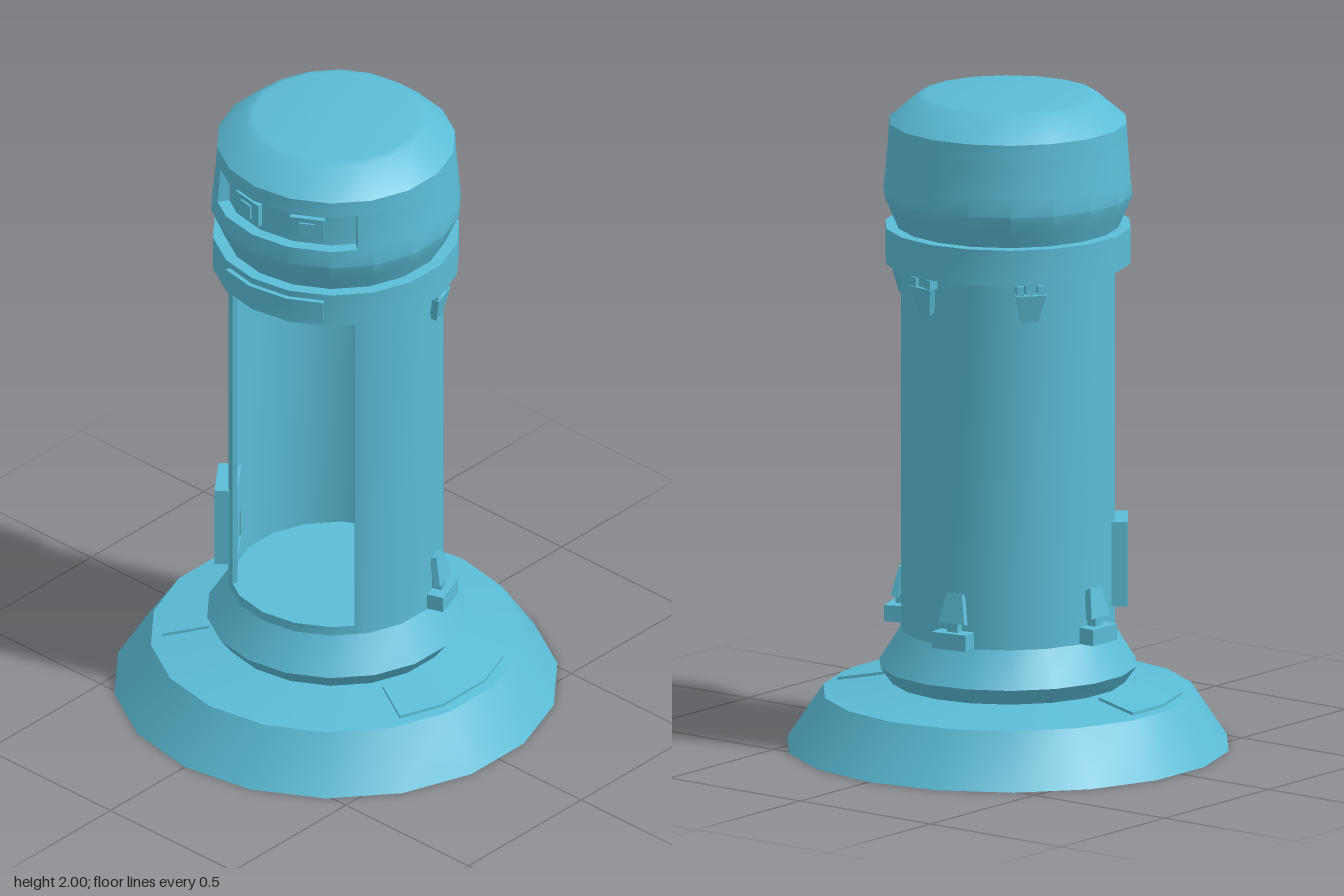
import * as THREE from 'three';
import { toCreasedNormals } from 'three/addons/utils/BufferGeometryUtils.js';

const material = new THREE.MeshStandardMaterial({ color: 0x5bbcd6, side: THREE.DoubleSide });
const RAD = Math.PI / 180;
const SIDES = 18, STEP = 360 / SIDES;
// The doorway and the dome window share one span of angles (0 = front, 90 = left)
const GAP_FROM = 237, GAP_TO = 323;

// Point on an 18-sided ring; partial rings keep to the flat faces
function ringPoint([r, y], deg) {
  const off = deg - STEP * Math.round(deg / STEP);
  const k = r * Math.cos(RAD * STEP / 2) / Math.cos(off * RAD);
  return [k * Math.sin(deg * RAD), y, k * Math.cos(deg * RAD)];
}

// Sweeps a (radius, height) profile around y between two angles
function sweep(name, profile, { from = 10, to = 370, closed = false, crease = 0.6 } = {}) {
  const angles = [from];
  for (let a = 10; a < to; a += STEP) if (a > from) angles.push(a);
  angles.push(to);
  const pts = closed ? [...profile, profile[0]] : profile;
  const pos = [];
  const tri = (...corners) => corners.forEach((c) => pos.push(...c));
  for (let i = 0; i < angles.length - 1; i++) {
    for (let j = 0; j < pts.length - 1; j++) {
      const a = ringPoint(pts[j], angles[i]), b = ringPoint(pts[j], angles[i + 1]);
      const c = ringPoint(pts[j + 1], angles[i + 1]), d = ringPoint(pts[j + 1], angles[i]);
      if (pts[j][0] > 0) tri(a, b, c);
      if (pts[j + 1][0] > 0) tri(a, c, d);
    }
  }
  // End caps of a solid partial ring
  if (closed && to - from < 360) {
    for (let j = 1; j < profile.length - 1; j++) {
      const cap = [profile[0], profile[j], profile[j + 1]];
      tri(...cap.map((p) => ringPoint(p, from)));
      tri(...cap.reverse().map((p) => ringPoint(p, to)));
    }
  }
  const geo = new THREE.BufferGeometry();
  geo.setAttribute('position', new THREE.Float32BufferAttribute(pos, 3));
  return named(name, toCreasedNormals(geo, crease));
}

function named(name, geometry) {
  const mesh = new THREE.Mesh(geometry, material);
  mesh.name = name;
  return mesh;
}

// Rectangular block swept around the axis
const band = (name, r0, r1, y0, y1, from, to) =>
  sweep(name, [[r0, y0], [r1, y0], [r1, y1], [r0, y1]], { from, to, closed: true });

function box(name, w, h, d, y, z) {
  const mesh = named(name, new THREE.BoxGeometry(w, h, d));
  mesh.position.set(0, y, z);
  return mesh;
}

// Tapered plate with a small slot
function clipPlate(bottom, top, height, depth) {
  const s = new THREE.Shape([
    new THREE.Vector2(-bottom / 2, 0), new THREE.Vector2(bottom / 2, 0),
    new THREE.Vector2(top / 2, height), new THREE.Vector2(-top / 2, height),
  ]);
  return named('clipPlate', new THREE.ExtrudeGeometry(s, { depth, bevelEnabled: false }));
}

function upperClip() {
  const g = new THREE.Group();
  g.name = 'upperClip';
  const plate = clipPlate(0.05, 0.092, 0.085, 0.022);
  plate.position.set(0, 1.375, 0.315);
  plate.rotation.x = 0.2;
  g.add(plate, box('clipStem', 0.03, 0.06, 0.03, 1.475, 0.33));
  for (const s of [-1, 1]) {
    const ear = box('clipEar', 0.022, 0.03, 0.03, 1.468, 0.335);
    ear.position.x = s * 0.032;
    g.add(ear);
  }
  return g;
}

function lowerClip() {
  const g = new THREE.Group();
  g.name = 'lowerClip';
  const plate = clipPlate(0.088, 0.052, 0.09, 0.022);
  plate.position.set(0, 0.435, 0.335);
  plate.rotation.x = -0.22;
  g.add(plate, box('clipStem', 0.035, 0.06, 0.03, 0.425, 0.335));
  g.add(box('clipFoot', 0.115, 0.05, 0.065, 0.387, 0.34));
  return g;
}

export function createModel() {
  const model = new THREE.Group();
  model.name = 'tubePod';

  // Hollow skirted base and flared pedestal
  model.add(sweep('base', [[0.67, 0], [0.56, 0.165], [0.35, 0.2]]));
  model.add(sweep('pedestal', [[0.35, 0.195], [0.39, 0.25], [0.32, 0.362], [0, 0.362]]));

  // Raised hatches on the base
  for (const mid of [0, 200]) {
    model.add(sweep('baseHatch', [[0.385, 0.188], [0.53, 0.164], [0.53, 0.179], [0.385, 0.203]],
      { from: mid - 26 + (mid ? 0 : 360), to: mid + 26 + (mid ? 0 : 360), closed: true }));
  }

  // Tube wall with a tall doorway between thin rims
  model.add(band('tubeWall', 0.31, 0.325, 0.36, 1.49, GAP_TO, GAP_FROM + 360));
  model.add(band('doorSill', 0.31, 0.325, 0.36, 0.39, GAP_FROM, GAP_TO));
  model.add(band('doorLintel', 0.31, 0.325, 1.46, 1.49, GAP_FROM, GAP_TO));

  // Collar with a plate above the doorway
  model.add(sweep('collar', [[0, 1.49], [0.372, 1.49], [0.372, 1.6], [0.33, 1.6]]));
  model.add(band('collarPlate', 0.35, 0.387, 1.51, 1.58, 253, 307));

  // Dome with a recessed window holding two screens
  model.add(sweep('domeLower', [[0.335, 1.6], [0.35, 1.635], [0.378, 1.7], [0.372, 1.755], [0.33, 1.755]]));
  model.add(sweep('windowBack', [[0.335, 1.755], [0.335, 1.87]]));
  model.add(sweep('domeBand', [[0.33, 1.755], [0.372, 1.755], [0.363, 1.87], [0.33, 1.87]],
    { from: GAP_TO, to: GAP_FROM + 360, closed: true }));
  model.add(sweep('domeUpper', [[0.33, 1.87], [0.363, 1.87], [0.36, 1.92]]));
  model.add(sweep('domeTop', [[0.36, 1.92], [0.272, 1.995], [0.25, 2], [0, 2]], { crease: 1 }));
  for (const mid of [262, 298]) {
    model.add(band('windowScreen', 0.32, 0.352, 1.775, 1.85, mid - 9, mid + 9));
    model.add(band('screenButton', 0.33, 0.358, 1.79, 1.835, mid - 4, mid + 4));
  }

  // Clips around both ends of the tube
  const clips = [[upperClip, [20, 80, 140]], [lowerClip, [20, 100, 180]]];
  for (const [make, angles] of clips) {
    for (const deg of angles) {
      const clip = make();
      clip.rotation.y = deg * RAD;
      model.add(clip);
    }
  }

  // Control box beside the doorway: a frame with a recessed lower pocket
  const control = new THREE.Group();
  control.name = 'controlBox';
  const face = new THREE.Shape([[-0.078, 0.44], [0.078, 0.44], [0.078, 0.7], [-0.078, 0.7]]
    .map((p) => new THREE.Vector2(...p)));
  face.holes.push(new THREE.Path([[-0.055, 0.46], [-0.055, 0.565], [0.055, 0.565], [0.055, 0.46]]
    .map((p) => new THREE.Vector2(...p))));
  const frame = named('controlFrame', new THREE.ExtrudeGeometry(face, { depth: 0.07, bevelEnabled: false }));
  frame.position.z = 0.29;
  control.add(frame, box('controlPocket', 0.12, 0.115, 0.04, 0.512, 0.315));
  control.rotation.y = 218 * RAD;
  model.add(control);

  return model;
}
